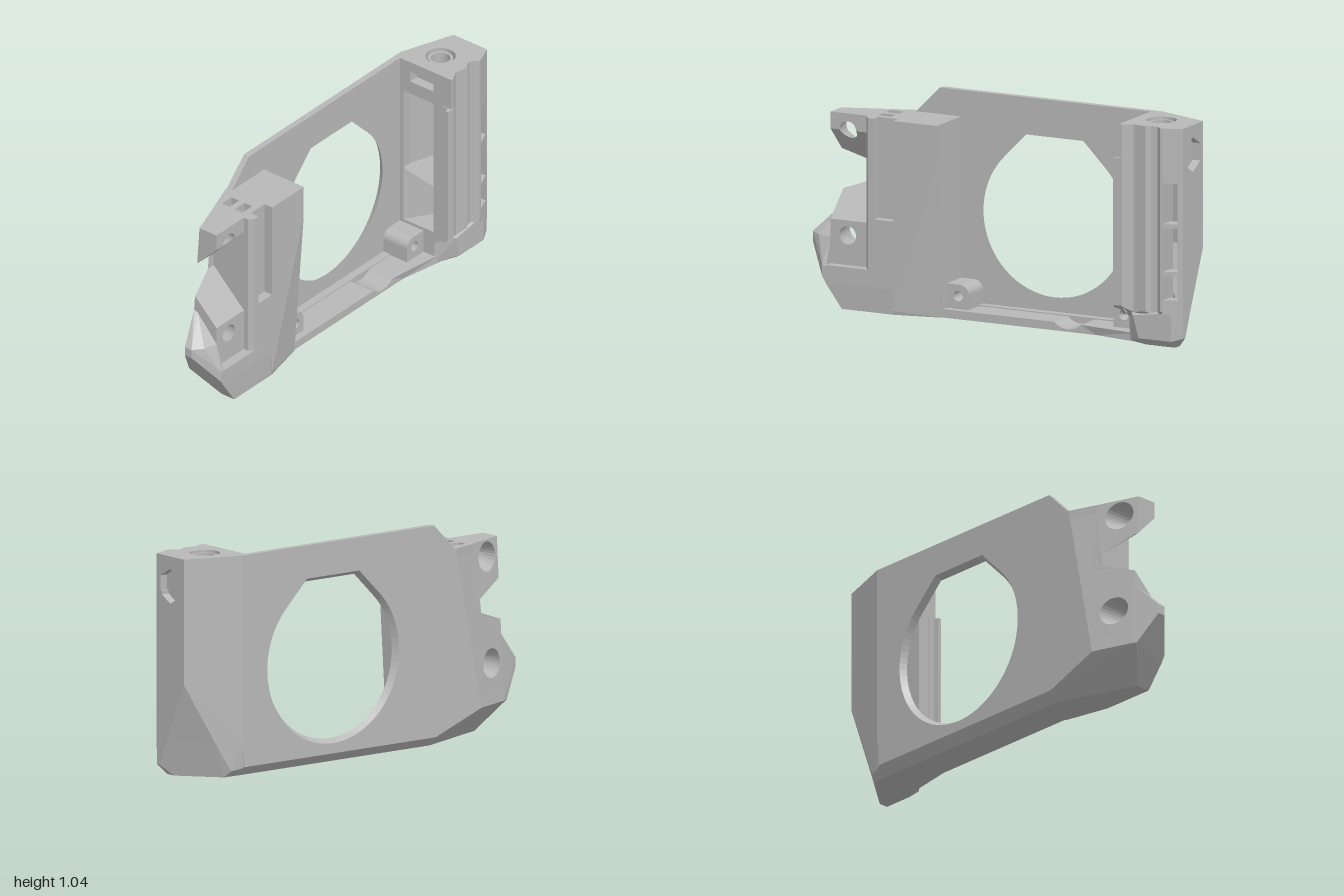
import * as THREE from 'three';
import { ConvexGeometry } from 'three/addons/geometries/ConvexGeometry.js';

const grey = new THREE.MeshStandardMaterial({ color: 0xb8b8b8 });
grey.name = 'grey plastic';

// x of the slanted outer face near the front end
const slant = (y, z) => Math.max(-0.17, -0.17 + 0.35 * (z - 0.54 - 0.2 * (0.915 - y)));

// x of the inner face of the lugs, with the V-shaped notch between them
function lugInner(y) {
  if (y >= 0.65) return Math.min(0.05, -0.13 + (y - 0.65) * 0.973);
  if (y <= 0.585) return Math.min(0.05, -0.13 + (0.585 - y) * 1.029);
  return -0.13;
}

const arc = (cu, cv, r, a0, a1, n) => Array.from({ length: n + 1 }, (_, i) => {
  const a = (a0 + (a1 - a0) * i / n) * Math.PI / 180;
  return [cu + r * Math.cos(a), cv + r * Math.sin(a)];
});
const rect = (u0, v0, u1, v1) => [[u0, v0], [u1, v0], [u1, v1], [u0, v1]];

// Outline and holes, all wound counter-clockwise so that hole walls face inwards
function extrude(pts, holes, depth, su, sv) {
  const wind = (path) => {
    const v = path.map((p) => new THREE.Vector2(p[0] * su, p[1] * sv));
    return THREE.ShapeUtils.isClockWise(v) ? v.reverse() : v;
  };
  const shape = new THREE.Shape(wind(pts));
  for (const h of holes) shape.holes.push(new THREE.Path(wind(h)));
  return new THREE.ExtrudeGeometry(shape, { depth, bevelEnabled: false });
}

export function createModel() {
  const model = new THREE.Group();
  const add = (name, geo) => {
    const g = geo.index ? geo.toNonIndexed() : geo;
    g.computeVertexNormals();
    const m = new THREE.Mesh(g, grey);
    m.name = name;
    model.add(m);
    return m;
  };
  const hull = (name, pts) =>
    add(name, new ConvexGeometry(pts.map((p) => new THREE.Vector3(...p))));
  const box = (name, x0, x1, y0, y1, z0, z1) => {
    const g = new THREE.BoxGeometry(x1 - x0, y1 - y0, z1 - z0);
    g.translate((x0 + x1) / 2, (y0 + y1) / 2, (z0 + z1) / 2);
    return add(name, g);
  };
  // [z, y] outline extruded along x; back and front give x as rules of (y, z)
  const slab = (name, pts, holes, back, front, flare) => {
    const g = extrude(pts, holes, 1, -1, 1).rotateY(Math.PI / 2);
    const p = g.attributes.position;
    for (let i = 0; i < p.count; i++) {
      let y = p.getY(i), z = p.getZ(i);
      const isBack = p.getX(i) < 0.5;
      if (isBack && flare && Math.hypot(z - flare.z, y - flare.y) < flare.r + 0.002) {
        z = flare.z + (z - flare.z) * flare.k;
        y = flare.y + (y - flare.y) * flare.k;
      }
      const f = front(y, z);
      p.setXYZ(i, isBack ? Math.min(back(y, z), f) : f, y, z);
    }
    return add(name, g);
  };
  // [x, z] outline extruded upwards from y0 to y1
  const prism = (name, pts, y0, y1, holes = []) =>
    add(name, extrude(pts, holes, y1 - y0, 1, -1).rotateX(-Math.PI / 2).translate(0, y0, 0));

  // Side plate with the big truncated-teardrop opening
  const opening = [...arc(-0.19, 0.485, 0.373, 135, 405, 60), [-0.042, 0.865], [-0.338, 0.865]];
  slab('sidePlate',
    [[-0.72, 0.045], [0.32, 0.045], [0.32, 0.915], [0.535, 0.915], [0.41, 1.04], [-0.72, 1.04]],
    [opening], () => -0.17, () => -0.14, { z: -0.19, y: 0.485, r: 0.41, k: 1.05 });

  // Bottom edge and ledge with a scooped dip
  hull('plateLowerEdge', [0.35, -0.72].flatMap((z) =>
    [[-0.17, 0.045, z], [-0.125, 0, z], [-0.1, 0, z], [-0.1, 0.045, z]]));
  slab('bottomLedge',
    [[0.32, 0], [0.32, 0.04], ...arc(-0.35, 0.115, 0.103, -47, -133, 10),
      [-0.5, 0.04], [-0.72, 0.04], [-0.72, 0], [-0.5, 0]],
    [], () => -0.1, (y, z) => 0.035 + Math.max(0, -0.5 - z) * 0.18);

  // Screw bosses on the ledge, mirrored along z
  for (const [zc, s] of [[0.24, 1], [-0.625, -1]]) {
    const outline = [[zc + s * 0.065, 0.035], [zc + s * 0.065, 0.155],
      ...arc(zc - s * 0.01, 0.11, 0.045, 90, s > 0 ? 180 : 0, 8), [zc - s * 0.055, 0.035]];
    slab('screwBoss', outline, [arc(zc, 0.1, 0.024, 0, 345, 23)], () => -0.145, () => 0);
  }

  // Front block: core, outer layer with the vertical groove, slotted cap
  hull('frontBlockCore', [
    [-0.17, 0.87, 0.3], [0.05, 0.87, 0.3], [-0.17, 0.87, 0.549], [-0.124, 0.87, 0.68],
    [0.05, 0.87, 0.68], [-0.17, 0.215, 0.68], [-0.17, 0.15, 0.68], [-0.17, 0.045, 0.42],
    [-0.125, 0, 0.42], [-0.17, 0.045, 0.3], [-0.125, 0, 0.3], [0.04, 0, 0.3],
    [0.05, 0.12, 0.3], [0, 0, 0.68], [0.05, 0, 0.68]]);
  hull('frontBlockRearCheek', [
    [0.045, 0.87, 0.3], [0.045, 0.87, 0.53], [0.045, 0, 0.53], [0.04, 0, 0.3],
    [0.095, 0.87, 0.3], [0.095, 0.75, 0.3], [0.095, 0.87, 0.53], [0.095, 0.02, 0.53], [0.09, 0, 0.53]]);
  box('grooveFoot', 0.045, 0.095, 0.12, 0.44, 0.53, 0.63);
  hull('frontBlockFrontCheek', [0.12, 0.87].flatMap((y) =>
    [[0.045, y, 0.63], [0.095, y, 0.63], [0.095, y, 0.66], [0.075, y, 0.68], [0.045, y, 0.68]]));
  prism('frontBlockCap', [[-0.17, 0.3], [0.095, 0.3], [0.095, 0.53], [0.05, 0.53], [0.05, 0.63],
    [0.095, 0.63], [0.095, 0.66], [0.075, 0.68], [-0.122, 0.68], [-0.17, 0.545]], 0.87, 0.915,
  [rect(-0.105, 0.58, -0.06, 0.65), rect(-0.028, 0.58, 0.018, 0.65)]);

  // Lugs with flared screw holes; the upper and lower ones meet at the notch
  const lug = (name, pts, holes, y) =>
    slab(name, pts, holes, slant, lugInner, { z: 0.79, y, r: 0.043, k: 1.6 });
  lug('upperLugTop', [[0.68, 0.835], ...arc(0.79, 0.835, 0.043, 180, 0, 14),
    [0.88, 0.835], [0.88, 0.915], [0.68, 0.915]], [], 0.835);
  lug('upperLugSlope', [[0.68, 0.835], ...arc(0.79, 0.835, 0.043, 180, 360, 14),
    [0.88, 0.835], [0.88, 0.722], [0.715, 0.65], [0.68, 0.65]], [], 0.835);
  slab('notchWeb', [[0.68, 0.65], [0.715, 0.65], [0.722, 0.585], [0.68, 0.585]], [], slant, lugInner);
  slab('lowerLugSlope', [[0.68, 0.585], [0.722, 0.585], [0.88, 0.53], [0.88, 0.41], [0.68, 0.41]],
    [], slant, lugInner);
  lug('lowerLugBase', rect(0.68, 0.2, 0.88, 0.41), [arc(0.79, 0.34, 0.043, 0, 347, 27)], 0.34);

  // Faceted nose
  hull('noseTip', [
    [-0.04, 0.33, 1], [0, 0.33, 1], [-0.04, 0.285, 1], [0, 0.285, 1],
    [-0.083, 0.46, 0.88], [-0.06, 0.45, 0.88], [0.035, 0.325, 0.95], [0.05, 0.325, 0.88],
    [0.095, 0.2, 0.9], [0.095, 0.145, 0.9], [0.095, 0.19, 0.88], [0.095, 0.112, 0.88],
    [-0.09, 0.15, 0.907], [-0.063, 0.112, 0.88], [-0.105, 0.15, 0.88]]);
  hull('noseBase', [
    [-0.101, 0.2, 0.88], [0.05, 0.2, 0.88], [0.095, 0.13, 0.88], [0.095, 0.112, 0.88],
    [-0.063, 0.112, 0.88], [-0.105, 0.15, 0.88], [0.015, 0, 0.8], [0.09, 0, 0.8],
    [-0.17, 0.2, 0.683], [-0.17, 0.15, 0.693], [-0.17, 0.045, 0.42], [-0.125, 0, 0.42],
    [0.05, 0.2, 0.53], [0.095, 0.13, 0.53], [0.09, 0, 0.53]]);
  box('noseBar', 0.05, 0.096, 0.13, 0.2, 0.56, 0.88);

  // Rear column: lower faceted foot
  hull('rearFoot', [
    [-0.17, 0.17, -0.69], [-0.17, 0.17, -0.73], [-0.125, 0.17, -0.855], [0.05, 0.17, -1],
    [0.125, 0.17, -1], [0.145, 0.17, -0.95], [0.145, 0.14, -0.75], [0.07, 0.17, -0.69],
    [-0.17, 0.045, -0.69], [-0.15, 0.03, -0.78], [0.1, 0.05, -1], [0.12, 0.05, -1],
    [0.145, 0.035, -0.95], [0.145, 0.035, -0.78], [-0.125, 0, -0.69], [-0.12, 0, -0.8],
    [0.06, 0, -0.95], [0.105, 0, -0.95], [0.105, 0, -0.8], [0.06, 0, -0.69]]);
  hull('rearFootCorner', [
    [-0.17, 0.45, -0.69], [-0.17, 0.45, -0.73], [-0.075, 0.45, -1], [-0.12, 0.45, -0.69],
    [-0.17, 0.17, -0.69], [-0.17, 0.17, -0.73], [-0.125, 0.17, -0.855],
    [0.05, 0.17, -1], [0.05, 0.17, -0.95], [-0.12, 0.17, -0.69]]);

  // Hollow column walls, rear panel with hexagonal pocket
  prism('columnOuterWall', [[-0.17, -0.69], [-0.17, -0.73], [-0.075, -1], [-0.05, -0.96],
    [-0.12, -0.74], [-0.12, -0.69]], 0.45, 0.99);
  const panel = extrude([[-0.075, 0.45], [0.05, 0.17], [0.1, 0.17], [0.1, 0.99], [-0.075, 0.99]],
    [arc(0.025, 0.9, 0.082, 30, 330, 5)], 0.04, 1, 1);
  add('columnRearPanel', panel.translate(0, 0, -1));
  box('pocketFloor', -0.07, 0.1, 0.8, 0.88, -0.96, -0.92);

  // Window corner: a bar at every solid band, gaps between them
  const corner = [[0.085, -1], [0.125, -1], [0.16, -0.91], [0.085, -0.91]];
  for (const [a, b] of [[0.16, 0.23], [0.345, 0.365], [0.57, 0.59], [0.78, 0.87]])
    prism('windowBar', corner, a, b);
  prism('windowRearPost', [[0.1, -1], [0.125, -1], [0.133, -0.98], [0.1, -0.98]], 0.16, 0.87);

  // Guide rails along the column, bottom ends cut at 45 degrees
  const taper = (mesh) => {
    const p = mesh.geometry.attributes.position;
    for (let i = 0; i < p.count; i++)
      if (p.getY(i) < 0.3) p.setY(i, 0.11 + Math.max(0, p.getX(i) - 0.095));
    mesh.geometry.computeVertexNormals();
  };
  taper(prism('guideRails', [[0.06, -0.69], [0.06, -0.915], [0.158, -0.915], [0.16, -0.9],
    [0.13, -0.87], [0.135, -0.84], [0.152, -0.82], [0.14, -0.75], [0.165, -0.705], [0.165, -0.69]],
  0.11, 1.04));
  taper(prism('railHook', [[0.12, -0.705], [0.17, -0.705], [0.17, -0.66], [0.155, -0.66],
    [0.15, -0.685], [0.12, -0.685]], 0.11, 0.88));

  // Column cap: bored from the top, slotted towards the front
  const inner = [[-0.17, -0.73], [-0.089, -0.96], [0.14, -0.96], [0.16, -0.91], [0.12, -0.87], [0.12, -0.69]];
  const bore = (r) => [arc(-0.005, -0.82, r, 0, 350, 35)];
  prism('capLower', [...inner, [-0.17, -0.69]], 0.87, 0.935, bore(0.045));
  prism('capSlotted', [...inner, [0.065, -0.69], [0.065, -0.74], [-0.08, -0.74], [-0.08, -0.69],
    [-0.17, -0.69]], 0.935, 0.99, bore(0.045));
  prism('capCorner', [[0.1, -1], [0.125, -1], [0.142, -0.955], [0.1, -0.955]], 0.87, 0.99);
  prism('capTop', [[-0.17, -0.73], [-0.075, -1], [0.125, -1], [0.16, -0.91], [0.12, -0.87],
    [0.12, -0.69], [-0.17, -0.69]], 0.99, 1.04, bore(0.07));
  prism('boreRing', bore(0.058)[0], 0.985, 1.03, bore(0.045));
  return model;
}
